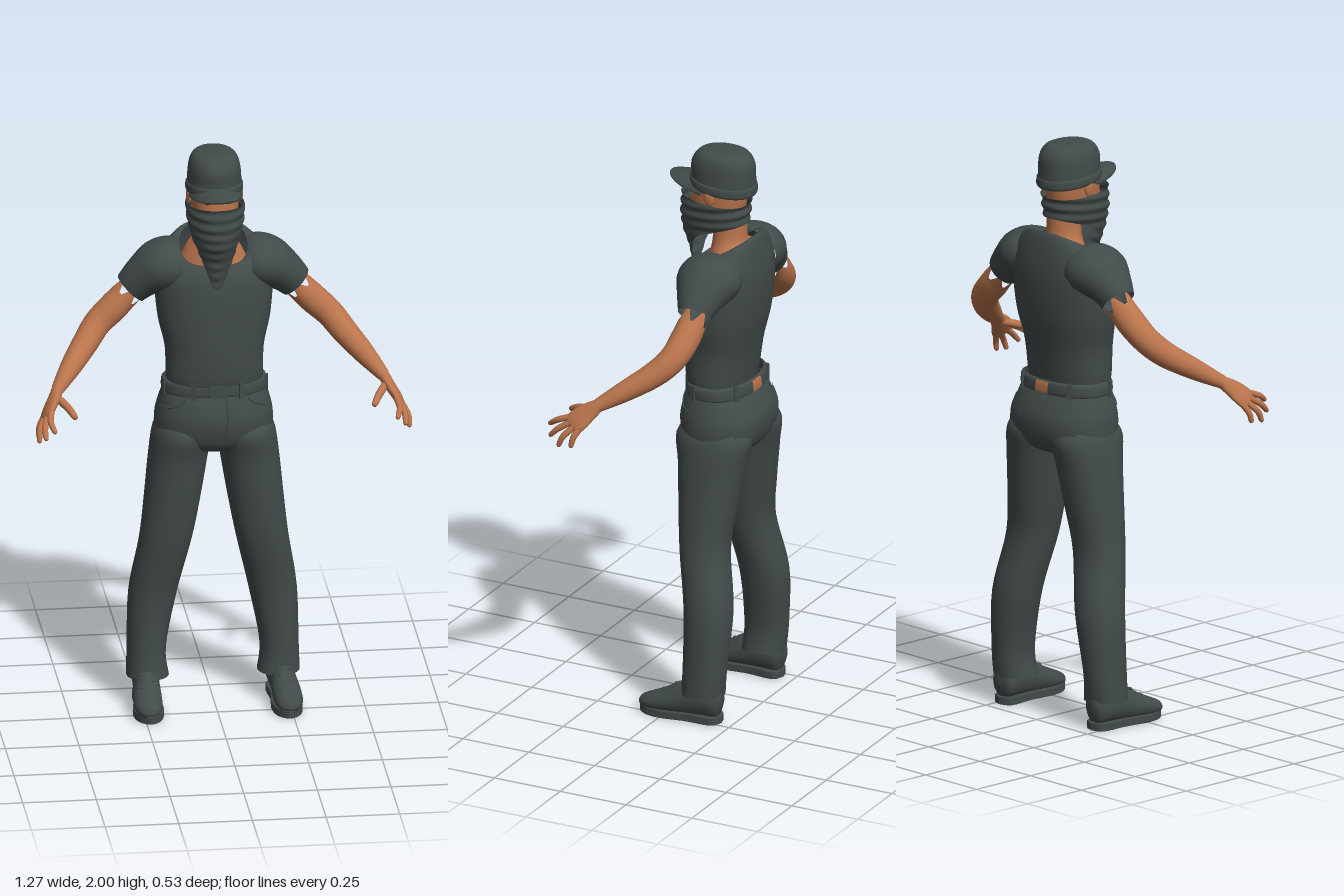
import * as THREE from 'three';

const V = (x, y, z) => new THREE.Vector3(x, y, z);
const TAU = Math.PI * 2;
const power = (v, p) => Math.sign(v) * Math.abs(v) ** p;

// Smooth in-between row of a table of cross-sections, t counted in rows
function rowAt(rows, t) {
  const last = rows.length - 1, i = Math.min(Math.floor(t), last - 1), f = t - i;
  const r = k => rows[Math.min(Math.max(k, 0), last)];
  return rows[0].map((_, c) => {
    const [a, b, d, e] = [r(i - 1)[c], r(i)[c], r(i + 1)[c], r(i + 2)[c]];
    return b + 0.5 * f * (d - a + f * (2 * a - 5 * b + 4 * d - e + f * (3 * (b - d) + e - a)));
  });
}

// Grid surface from f(u, v); wrapped surfaces share their seam
function surface(f, nu, nv, wrap = true) {
  const pos = [], index = [], w = wrap ? nu : nu + 1;
  for (let j = 0; j <= nv; j++)
    for (let i = 0; i < w; i++) pos.push(...f(i / nu, j / nv).toArray());
  for (let j = 0; j < nv; j++)
    for (let i = 0; i < nu; i++) {
      const a = j * w + i, b = j * w + (i + 1) % w;
      index.push(a, b, b + w, a, b + w, a + w);
    }
  const g = new THREE.BufferGeometry();
  g.setAttribute('position', new THREE.Float32BufferAttribute(pos, 3));
  g.setIndex(index);
  g.computeVertexNormals();
  return g;
}

// Level rings, bottom to top: [y, x, z, rx, rz, front drop]
function ringPoint([y, x, z, rx, rz, drop], a, p = 0.88, grow = 1) {
  const s = power(Math.sin(a), p) * grow, c = power(Math.cos(a), p) * grow;
  return V(x + Math.max(rx, 0) * s, y - drop * c, z + Math.max(rz, 0) * c);
}
const rings = (rows, p = 0.88, nu = 40) =>
  surface((u, v) => ringPoint(rowAt(rows, v * (rows.length - 1)), u * TAU, p), nu, (rows.length - 1) * 5);

// Rings square to a path: [x, y, z, width radius, thickness radius]
function limb(rows, side, nu = 20, ragged = 0) {
  const n = rows.length - 1;
  return surface((u, v) => {
    const t = v * n, r = rowAt(rows, t);
    const p0 = V(...rowAt(rows, Math.max(t - 0.05, 0))), p1 = V(...rowAt(rows, Math.min(t + 0.05, n)));
    const T = p1.sub(p0).normalize();
    const S = side.clone().addScaledVector(T, -side.dot(T)).normalize();
    const N = S.clone().cross(T), a = u * TAU;
    const p = V(r[0], r[1], r[2]).addScaledVector(S, Math.max(r[3], 0.0003) * Math.sin(a))
      .addScaledVector(N, Math.max(r[4], 0.0003) * Math.cos(a));
    return v === 0 ? p.addScaledVector(T, -ragged * (0.5 + 0.5 * Math.sin(a * 5))) : p;
  }, nu, n * 5);
}

function mirrored(g) {
  const m = g.clone().scale(-1, 1, 1);
  if (!m.index) m.setIndex([...Array(m.attributes.position.count).keys()]);
  const ix = m.index.array;
  for (let i = 0; i < ix.length; i += 3) [ix[i], ix[i + 1]] = [ix[i + 1], ix[i]];
  return m;
}

// Linear lookup in a table of [key, values...], keys falling
function lookup(table, key, c) {
  for (let i = 1; i < table.length; i++)
    if (key >= table[i][0] || i === table.length - 1) {
      const [a, b] = [table[i - 1], table[i]];
      return THREE.MathUtils.lerp(a[c], b[c], THREE.MathUtils.clamp((a[0] - key) / (a[0] - b[0]), 0, 1));
    }
}

export function createModel() {
  const model = new THREE.Group();
  model.name = 'figure';
  const material = (name, color) => Object.assign(new THREE.MeshStandardMaterial({ color }), { name });
  const cloth = material('charcoal cloth', 0x424a4a);
  cloth.side = THREE.DoubleSide;
  const skin = material('skin', 0xb9744c);
  const dark = material('dark brown', 0x33241c);
  const add = (name, g, mat) => {
    const m = new THREE.Mesh(g, mat);
    m.name = name;
    model.add(m);
  };
  const pair = (name, g, mat) => {
    add(name + 'Left', g, mat);
    add(name + 'Right', mirrored(g), mat);
  };
  const ball = (x, y, z, rx, ry, rz) => new THREE.SphereGeometry(1, 14, 10).scale(rx, ry, rz).translate(x, y, z);

  // Shirt with a scooped collar and short sleeves
  add('shirt', rings([
    [1.15, 0, -0.1, 0.155, 0.095, 0], [1.2, 0, -0.097, 0.164, 0.105, 0], [1.3, 0, -0.102, 0.168, 0.116, 0],
    [1.4, 0, -0.113, 0.19, 0.126, 0], [1.5, 0, -0.12, 0.2, 0.13, 0], [1.57, 0, -0.125, 0.2, 0.126, 0.01],
    [1.625, 0, -0.128, 0.175, 0.113, 0.03], [1.655, 0, -0.128, 0.14, 0.1, 0.048],
    [1.65, 0, -0.126, 0.116, 0.088, 0.055]]), cloth);
  pair('sleeve', limb([
    [0.12, 1.59, -0.13, 0.105, 0.075], [0.15, 1.59, -0.13, 0.112, 0.086], [0.19, 1.575, -0.13, 0.107, 0.086],
    [0.24, 1.54, -0.132, 0.08, 0.071], [0.28, 1.5, -0.135, 0.058, 0.06]], V(0, 0, 1), 28), cloth);

  // Arms and hands
  pair('arm', limb([
    [0.303, 1.472, -0.135, 0.048, 0.048], [0.34, 1.435, -0.13, 0.05, 0.05], [0.395, 1.385, -0.115, 0.047, 0.047],
    [0.44, 1.335, -0.07, 0.044, 0.044], [0.5, 1.28, 0.01, 0.036, 0.036], [0.555, 1.23, 0.09, 0.024, 0.021]],
    V(0, 0, 1), 30, 0.05), skin);
  pair('palm', limb([
    [0.553, 1.232, 0.086, 0.022, 0.02], [0.572, 1.205, 0.12, 0.035, 0.018], [0.59, 1.18, 0.145, 0.041, 0.016],
    [0.602, 1.16, 0.163, 0.035, 0.012], [0.606, 1.154, 0.168, 0, 0]], V(-0.02, 0.03, 0.065)), skin);
  const fingers = {
    indexFinger: [[0.586, 1.183, 0.18], [0.592, 1.167, 0.222], [0.58, 1.14, 0.262]],
    middleFinger: [[0.598, 1.168, 0.172], [0.61, 1.143, 0.212], [0.61, 1.11, 0.245]],
    ringFinger: [[0.606, 1.156, 0.156], [0.625, 1.125, 0.185], [0.628, 1.085, 0.203]],
    littleFinger: [[0.605, 1.154, 0.134], [0.622, 1.125, 0.148], [0.627, 1.09, 0.156]],
    thumb: [[0.558, 1.213, 0.115], [0.528, 1.197, 0.172], [0.505, 1.175, 0.22]],
  };
  for (const [name, [a, b, c]] of Object.entries(fingers)) {
    const k = name === 'thumb' ? 1.25 : 1;
    const near = b.map((v, i) => v + (c[i] - v) * 0.85);
    pair(name, limb([[...a, 0.011 * k, 0.011 * k], [...b, 0.0105 * k, 0.0105 * k],
      [...near, 0.008 * k, 0.008 * k], [...c, 0, 0]], V(0.3, 1, 0.2), 12), skin);
  }

  // Neck, head, ears and eyes
  add('neck', rings([
    [1.58, 0, -0.125, 0.12, 0.085, 0.05], [1.64, 0, -0.125, 0.092, 0.07, 0.035],
    [1.69, 0, -0.125, 0.062, 0.058, 0], [1.8, 0, -0.12, 0.058, 0.062, 0]], 1), skin);
  add('head', rings([
    [1.7, 0, -0.06, 0.01, 0.01, 0], [1.71, 0, -0.065, 0.045, 0.055, 0], [1.76, 0, -0.075, 0.07, 0.09, 0],
    [1.85, 0, -0.086, 0.082, 0.098, 0], [1.93, 0, -0.09, 0.078, 0.09, 0], [1.97, 0, -0.09, 0, 0, 0]], 0.95), skin);
  pair('ear', ball(0.086, 1.85, -0.088, 0.011, 0.033, 0.02).rotateZ(0), skin);
  pair('eyebrow', ball(0.034, 1.863, 0.005, 0.02, 0.004, 0.005), dark);
  pair('eye', ball(0.034, 1.848, 0.005, 0.011, 0.004, 0.004), dark);

  // Face scarf, hanging to a point in front
  const scarf = [[1.84, 0.1, 0.046, -0.195], [1.76, 0.094, 0.052, -0.19], [1.7, 0.078, 0.046, -0.175],
    [1.64, 0.068, 0.022, -0.16], [1.52, 0.045, 0.002, -0.15]];
  add('faceScarf', surface((u, v) => {
    const a = u * TAU, front = (1 + Math.cos(a)) / 2;
    const top = 1.815 + 0.022 * front, hem = 1.745 - 0.07 * front - 0.155 * front ** 6;
    const y = hem + (top - hem) * v, c = power(Math.cos(a), 0.92), s = power(Math.sin(a), 0.92);
    const fold = 1 + 0.03 * Math.sin(y * 170 + 3 * front);
    const zf = lookup(scarf, y, 2), zb = lookup(scarf, y, 3), mid = (zf + zb) / 2;
    return V(lookup(scarf, y, 1) * s * fold, y, mid + (zf - mid) * c * fold);
  }, 56, 40), cloth);

  // Cap: crown, band and curved brim
  add('capCrown', rings([
    [1.862, 0, -0.1, 0.093, 0.113, -0.012], [1.905, 0, -0.1, 0.091, 0.112, -0.006], [1.95, 0, -0.099, 0.087, 0.111, 0],
    [1.982, 0, -0.1, 0.076, 0.094, 0], [1.997, 0, -0.1, 0.052, 0.066, 0], [2, 0, -0.1, 0, 0, 0]], 0.93), cloth);
  add('capBand', rings([
    [1.86, 0, -0.1, 0.093, 0.113, -0.012], [1.868, 0, -0.1, 0.097, 0.117, -0.012],
    [1.888, 0, -0.1, 0.096, 0.116, -0.01], [1.893, 0, -0.1, 0.09, 0.11, -0.01]], 0.93), cloth);
  add('capBrim', surface((u, v) => {
    const a = (u - 0.5) * 2.7, k = Math.round(v * 3), outer = k === 1 || k === 2, low = k > 1;
    return V((outer ? 0.094 : 0.086) * Math.sin(a), 1.9 - 0.028 * Math.sin(a) ** 2 - (outer ? 0.012 : 0) - (low ? 0.007 : 0),
      -0.1 + (outer ? 0.198 : 0.1) * Math.cos(a));
  }, 28, 3, false), cloth);

  // Trousers
  const hips = [
    [0.925, 0, -0.12, 0.04, 0.05, 0], [0.94, 0, -0.12, 0.14, 0.1, 0], [0.98, 0, -0.12, 0.195, 0.132, 0],
    [1.05, 0, -0.118, 0.2, 0.143, 0], [1.11, 0, -0.113, 0.187, 0.128, 0], [1.15, 0, -0.109, 0.174, 0.11, 0],
    [1.18, 0, -0.107, 0.168, 0.105, 0]];
  add('trouserSeat', rings(hips), cloth);
  pair('trouserLeg', rings([
    [0.1, 0.222, -0.138, 0.072, 0.074, 0], [0.2, 0.225, -0.146, 0.066, 0.076, 0], [0.4, 0.203, -0.148, 0.082, 0.083, 0],
    [0.6, 0.164, -0.115, 0.089, 0.084, 0], [0.75, 0.141, -0.115, 0.095, 0.1, 0], [0.9, 0.121, -0.12, 0.1, 0.118, 0],
    [1, 0.105, -0.12, 0.1, 0.132, 0], [1.06, 0.1, -0.12, 0.07, 0.08, 0]], 0.92), cloth);
  const onHips = (a, t, grow) => ringPoint(rowAt(hips, t), a, 0.88, grow);
  pair('backPocket', surface((u, v) => {
    const point = (1 - v) * 0.25 * Math.abs(u - 0.5) * 2;
    return onHips(Math.PI - 0.85 + 0.6 * u, 2.1 + point + (1.95 - point) * v, 1.03);
  }, 12, 10, false), cloth);
  const seam = points => new THREE.TubeGeometry(
    new THREE.CatmullRomCurve3(points.map(([a, t]) => onHips(a, t, 1.005))), 20, 0.003, 6);
  pair('frontPocketSeam', seam([[0.55, 4.9], [0.65, 4.2], [0.95, 3.8], [1.35, 3.7]]), cloth);
  add('flySeam', seam([[0.12, 4.9], [0.13, 3.5], [0.08, 2.4], [0, 1.8]]), cloth);

  // Belt, buckle, loops and the bare patch at the back
  const belt = [[1.14, 0, -0.111, 0.17, 0.106, 0], [1.146, 0, -0.111, 0.179, 0.116, 0],
    [1.179, 0, -0.11, 0.177, 0.114, 0], [1.186, 0, -0.11, 0.166, 0.104, 0]];
  add('belt', rings(belt), cloth);
  add('buckle', new THREE.BoxGeometry(0.055, 0.044, 0.012).translate(0, 1.163, 0.007), cloth);
  for (const a of [0.42, 1.3, 2.5]) {
    const p = ringPoint(belt[1], a);
    pair('beltLoop', new THREE.BoxGeometry(0.016, 0.056, 0.01).rotateY(a).translate(p.x, 1.163, p.z), cloth);
  }
  add('bareBack', surface((u, v) => ringPoint(rowAt(belt, 0.9 + 1.4 * v), Math.PI - 0.13 + 0.26 * u, 0.88, 1.02),
    8, 4, false), skin);

  // Shoes with soles and laces
  pair('shoe', limb([
    [0.225, 0.07, -0.212, 0, 0], [0.226, 0.072, -0.2, 0.038, 0.052], [0.228, 0.08, -0.15, 0.045, 0.06],
    [0.232, 0.075, -0.08, 0.045, 0.06], [0.236, 0.058, -0.02, 0.049, 0.045], [0.238, 0.045, 0.04, 0.047, 0.032],
    [0.234, 0.038, 0.08, 0.03, 0.02], [0.232, 0.036, 0.093, 0, 0]], V(1, 0, 0), 24), cloth);
  const outline = new THREE.Shape();
  outline.moveTo(0.226, -0.208);
  outline.splineThru([[0.265, -0.185], [0.27, -0.09], [0.284, 0], [0.272, 0.06], [0.236, 0.09], [0.2, 0.06],
    [0.186, 0], [0.192, -0.09], [0.188, -0.185], [0.226, -0.208]].map(p => new THREE.Vector2(...p)));
  pair('sole', new THREE.ExtrudeGeometry(outline, { depth: 0.022, bevelSize: 0.003, bevelThickness: 0.003,
    bevelSegments: 2, curveSegments: 30 }).rotateX(Math.PI / 2).translate(0, 0.028, 0), cloth);
  for (let i = 0; i < 4; i++)
    pair('lace', new THREE.CapsuleGeometry(0.005, 0.04, 4, 8).rotateZ(Math.PI / 2).rotateY(i % 2 ? 0.25 : -0.25)
      .translate(0.235, 0.126 - i * 0.014, -0.06 + i * 0.023), cloth);

  return model;
}
